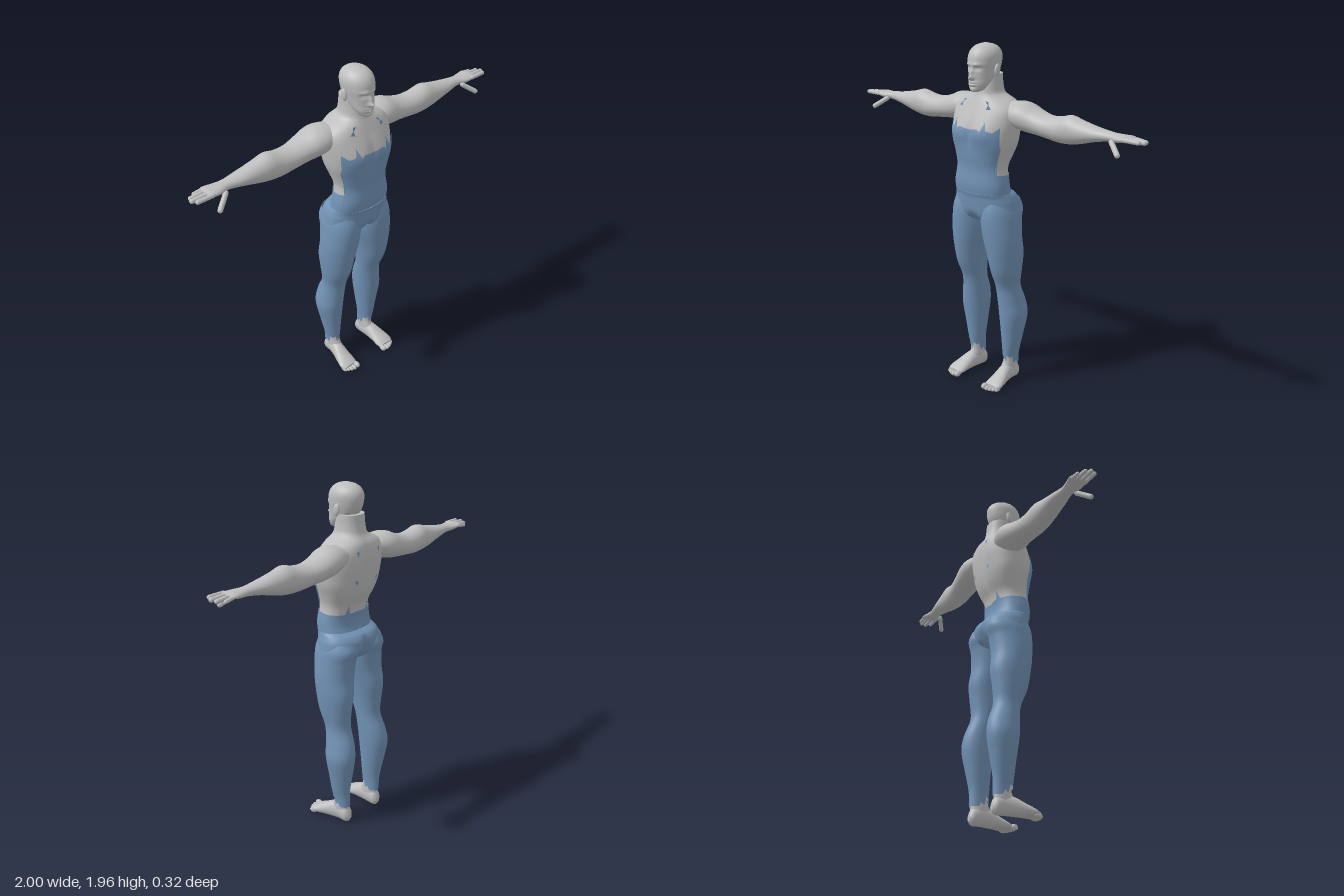
import * as THREE from 'three';
import { mergeVertices } from 'three/addons/utils/BufferGeometryUtils.js';

const skin = new THREE.MeshStandardMaterial({ color: 0xbebebe, side: THREE.DoubleSide });
skin.name = 'grey skin';
const cloth = new THREE.MeshStandardMaterial({ color: 0x7293b6, side: THREE.DoubleSide });
cloth.name = 'blue cloth';

// Smooth interpolation of rows [t, pMin, pMax, qMin, qMax]
function sample(keys, t) {
  const n = keys.length;
  let i = 0;
  while (i < n - 2 && t > keys[i + 1][0]) i++;
  const A = keys[i], B = keys[i + 1], h = B[0] - A[0];
  const s = THREE.MathUtils.clamp((t - A[0]) / h, 0, 1);
  const P = keys[Math.max(i - 1, 0)], N = keys[Math.min(i + 2, n - 1)];
  return [1, 2, 3, 4].map((k) => {
    const m0 = (B[k] - P[k]) / (B[0] - P[0]) * h, m1 = (N[k] - A[k]) / (N[0] - A[0]) * h;
    const s2 = s * s, s3 = s2 * s;
    return (2 * s3 - 3 * s2 + 1) * A[k] + (s3 - 2 * s2 + s) * m0 + (3 * s2 - 2 * s3) * B[k] + (s3 - s2) * m1;
  });
}

// Linear lookup in rows [x, value]
function lookup(rows, x) {
  const i = Math.max(1, rows.findIndex((r) => r[0] >= x));
  const [a, b] = [rows[i - 1], rows[i]];
  return a[1] + (b[1] - a[1]) * (x - a[0]) / (b[0] - a[0]);
}

const power = (c, e) => Math.sign(c) * Math.abs(c) ** e;
const orient = {
  x: (t, p, q) => [t, q, p],
  y: (t, p, q) => [p, t, q],
  z: (t, p, q) => [q, p, t],
};

// One point on a lofted body; angle 0 is +p, 90 degrees is +q
function loftPoint(keys, t, a, { axis = 'y', off = 0, e = 1, deform } = {}, r = 1) {
  const [p0, p1, q0, q1] = sample(keys, t);
  const p = (p0 + p1) / 2 + r * ((p1 - p0) / 2 + off) * power(Math.cos(a), e);
  const q = (q0 + q1) / 2 + r * ((q1 - q0) / 2 + off) * power(Math.sin(a), e);
  const v = orient[axis](t, p, q);
  if (deform) v[2] += deform(v[0], v[1], Math.sin(a));
  return v;
}

// Closed loft; lower/upper give ragged open ends by degrees away from the front
function loft(keys, opt = {}) {
  const { nu = 48, nv = 40, lower, upper } = opt;
  const pos = [], idx = [];
  const open = lower || upper;
  for (let j = 0; j <= nv; j++) {
    const v = open ? j / nv : THREE.MathUtils.clamp((j - 1) / (nv - 2), 0, 1);
    const r = !open && (j === 0 || j === nv) ? 0 : 1;
    const ease = (1 - Math.cos(Math.PI * v)) / 2;
    for (let i = 0; i <= nu; i++) {
      const a = (i % nu) / nu * Math.PI * 2;
      let th = Math.abs(a * 180 / Math.PI - 90);
      if (th > 180) th = 360 - th;
      const t0 = lower ? lower(th) : keys[0][0], t1 = upper ? upper(th) : keys[keys.length - 1][0];
      pos.push(...loftPoint(keys, t0 + (t1 - t0) * ease, a, opt, r));
      if (i < nu && j < nv) {
        const k = j * (nu + 1) + i, l = k + nu + 1;
        idx.push(k, l, k + 1, k + 1, l, l + 1);
      }
    }
  }
  const g = new THREE.BufferGeometry();
  g.setAttribute('position', new THREE.Float32BufferAttribute(pos, 3));
  g.setIndex(idx);
  const m = mergeVertices(g, 1e-5);
  m.computeVertexNormals();
  return m;
}

// Rounded digit from a to b
function digit(a, b, r) {
  const A = new THREE.Vector3(...a), B = new THREE.Vector3(...b), d = B.clone().sub(A);
  const g = new THREE.CapsuleGeometry(r, d.length() - r, 5, 12);
  g.applyQuaternion(new THREE.Quaternion().setFromUnitVectors(new THREE.Vector3(0, 1, 0), d.clone().normalize()));
  const c = A.add(B).multiplyScalar(0.5);
  return g.translate(c.x, c.y, c.z);
}

function mirrored(g) {
  const m = g.clone().scale(-1, 1, 1), ix = m.index.array;
  for (let i = 0; i < ix.length; i += 3) [ix[i], ix[i + 1]] = [ix[i + 1], ix[i]];
  return m;
}

const bump = (x, y, x0, y0, sx, sy, h) => h * Math.exp(-(((Math.abs(x) - x0) / sx) ** 2) - ((y - y0) / sy) ** 2);

// Torso and neck: [y, -x, +x, back z, front z]
const torsoKeys = [
  [1.1, 0.17, -0.1, 0.12], [1.2, 0.164, -0.066, 0.137], [1.3, 0.15, -0.077, 0.133], [1.37, 0.168, -0.112, 0.14],
  [1.43, 0.19, -0.13, 0.144], [1.5, 0.2, -0.14, 0.143], [1.56, 0.205, -0.143, 0.13], [1.62, 0.2, -0.141, 0.105],
  [1.66, 0.155, -0.13, 0.088], [1.69, 0.092, -0.106, 0.075], [1.73, 0.078, -0.094, 0.066], [1.8, 0.074, -0.085, 0.05],
].map(([y, w, b, f]) => [y, -w, w, b, f]);
const torsoOpt = {
  nu: 96, nv: 60, e: 0.88,
  deform: (x, y, s) => (s > 0
    ? s * (bump(x, y, 0.09, 1.49, 0.075, 0.055, 0.014) - bump(x, y, 0, 1.5, 0.018, 0.1, 0.006))
    : -s * (bump(x, y, 0, 1.42, 0.03, 0.2, 0.016) - bump(x, y, 0.1, 1.56, 0.05, 0.07, 0.008))),
};

// Ragged top of the shirt, in degrees away from the front
const shirtTop = [[0, 1.515], [14, 1.525], [20, 1.512], [26, 1.565], [29, 1.52], [42, 1.51], [55, 1.54], [58, 1.44],
  [62, 1.42], [66, 1.27], [100, 1.262], [148, 1.26], [154, 1.31], [159, 1.262], [181, 1.26]];

// Face relief
const face = (x, y, s) => (s <= 0 ? 0 : s * (
  bump(x, y, 0, 1.787, 0.014, 0.012, 0.026) + bump(x, y, 0, 1.812, 0.011, 0.02, 0.015)
  + bump(x, y, 0.03, 1.856, 0.024, 0.009, 0.007) - bump(x, y, 0.032, 1.836, 0.017, 0.01, 0.013)
  + bump(x, y, 0.032, 1.834, 0.009, 0.005, 0.006)
  + bump(x, y, 0, 1.763, 0.022, 0.005, 0.008) + bump(x, y, 0, 1.749, 0.02, 0.005, 0.008)
  - bump(x, y, 0, 1.737, 0.025, 0.005, 0.004)));
const headKeys = [
  [1.711, 0.02, 0.06, 0.108], [1.72, 0.036, 0.03, 0.116], [1.75, 0.056, 0, 0.118], [1.78, 0.067, -0.045, 0.116],
  [1.82, 0.075, -0.075, 0.116], [1.86, 0.081, -0.088, 0.118], [1.9, 0.081, -0.09, 0.112],
  [1.93, 0.068, -0.075, 0.094], [1.95, 0.044, -0.045, 0.065], [1.96, 0.012, -0.005, 0.03],
].map(([y, w, b, f]) => [y, -w, w, b, f]);

// Arm along x: [x, back z, front z, bottom y, top y]
const armKeys = [
  [0.12, -0.12, 0.03, 1.55, 1.655], [0.2, -0.146, 0.045, 1.52, 1.667], [0.25, -0.149, 0.04, 1.508, 1.662],
  [0.31, -0.143, 0.026, 1.502, 1.637], [0.39, -0.13, 0.019, 1.494, 1.617], [0.47, -0.122, 0.018, 1.485, 1.622],
  [0.535, -0.118, 0.017, 1.487, 1.638], [0.6, -0.112, 0.01, 1.499, 1.622], [0.7, -0.1, 0, 1.527, 1.602],
  [0.79, -0.085, -0.014, 1.543, 1.591], [0.84, -0.092, 0, 1.546, 1.589], [0.89, -0.099, 0.005, 1.557, 1.588],
  [0.91, -0.09, -0.002, 1.565, 1.583],
];

// Trouser hips and legs: [y, inner x, outer x, back z, front z]
const hipKeys = [
  [0.96, 0.03, -0.05, 0.05], [1, 0.13, -0.1, 0.1], [1.04, 0.195, -0.132, 0.122], [1.1, 0.197, -0.143, 0.131],
  [1.14, 0.184, -0.124, 0.136], [1.16, 0.174, -0.09, 0.142],
].map(([y, w, b, f]) => [y, -w, w, b, f]);
const legKeys = [
  [0.08, 0.092, 0.166, -0.12, -0.01], [0.15, 0.092, 0.17, -0.12, -0.01], [0.2, 0.088, 0.18, -0.122, -0.005],
  [0.3, 0.078, 0.2, -0.14, 0.005], [0.42, 0.068, 0.22, -0.16, 0.02], [0.5, 0.064, 0.21, -0.15, 0.026],
  [0.6, 0.06, 0.197, -0.115, 0.038], [0.7, 0.05, 0.21, -0.12, 0.078], [0.8, 0.034, 0.22, -0.13, 0.1],
  [0.9, 0.013, 0.221, -0.118, 0.115], [1, 0.002, 0.212, -0.128, 0.124], [1.06, 0.004, 0.204, -0.145, 0.122],
  [1.11, 0.02, 0.185, -0.13, 0.11],
];
const cuff = [[0, 0.15], [12, 0.12], [20, 0.165], [45, 0.15], [60, 0.16], [75, 0.11], [95, 0.125], [110, 0.1], [181, 0.1]];

const ankleKeys = [[0.03, 0.1, 0.15, -0.11, -0.02], [0.08, 0.093, 0.161, -0.115, 0.005],
  [0.12, 0.095, 0.16, -0.113, -0.014], [0.22, 0.095, 0.165, -0.113, -0.015]];
// Foot along z: [z, bottom y, top y, inner x, outer x]
const footKeys = [[-0.126, 0.02, 0.055, 0.11, 0.14], [-0.11, 0, 0.09, 0.094, 0.158], [-0.06, 0, 0.11, 0.091, 0.163],
  [0, 0, 0.1, 0.094, 0.176], [0.05, 0, 0.075, 0.094, 0.19], [0.1, 0, 0.05, 0.093, 0.2], [0.128, 0.004, 0.034, 0.1, 0.19]];

export function createModel() {
  const root = new THREE.Group();
  const add = (name, g, mat) => {
    const m = new THREE.Mesh(g, mat);
    m.name = name;
    root.add(m);
  };
  const pair = (name, g, mat) => {
    add(name + 'Left', g, mat);
    add(name + 'Right', mirrored(g), mat);
  };

  add('torso', loft(torsoKeys, torsoOpt), skin);
  add('head', loft(headKeys, { nu: 112, nv: 90, deform: face }), skin);
  pair('ear', new THREE.SphereGeometry(1, 16, 12).scale(0.011, 0.034, 0.02).rotateX(-0.15).translate(0.083, 1.825, 0.008), skin);

  // Arms and hands
  pair('arm', loft(armKeys, { axis: 'x', nv: 60 }), skin);
  [[-0.004, 0.985, 0.012], [-0.033, 1, 0.0125], [-0.062, 0.99, 0.012], [-0.087, 0.955, 0.0105]].forEach(([z, tip, r], i) =>
    pair('finger' + (i + 1), digit([0.88, 1.573, z * 0.95], [tip - r / 2, 1.574 - i * 0.004, z], r), skin));
  pair('thumb', digit([0.81, 1.555, -0.01], [0.885, 1.5, 0.038], 0.014), skin);

  // Shirt and trousers
  add('shirt', loft(torsoKeys, { ...torsoOpt, nu: 180, off: 0.006, lower: () => 1.13, upper: (d) => lookup(shirtTop, d) }), cloth);
  add('trouserHips', loft(hipKeys, {
    nu: 80, e: 0.92,
    deform: (x, y, s) => (s > 0 ? -s * bump(x, y, 0, 0.98, 0.03, 0.05, 0.03) : -s * bump(x, y, 0, 1.03, 0.022, 0.08, 0.045)),
  }), cloth);
  pair('trouserLeg', loft(legKeys, { nu: 72, nv: 70, lower: (d) => lookup(cuff, d), upper: () => 1.11 }), cloth);

  // Feet
  pair('ankle', loft(ankleKeys, { nv: 20 }), skin);
  pair('foot', loft(footKeys, { axis: 'z', nv: 30 }), skin);
  [[0.108, 0.147, 0.016], [0.133, 0.148, 0.012], [0.153, 0.142, 0.011], [0.171, 0.133, 0.0105], [0.187, 0.122, 0.01]].forEach(
    ([x, z, r], i) => pair('toe' + (i + 1), new THREE.SphereGeometry(1, 14, 10).scale(r, r * 1.1, 0.024).translate(x, r * 1.1, z - 0.01), skin));

  // Scraps of cloth showing on the chest and back: corners as [degrees from front, y]
  const scraps = [
    [[23, 1.664], [30, 1.664], [27, 1.642]], [[27, 1.648], [22, 1.624], [31, 1.628]],
    [[157, 1.625], [163, 1.62], [160, 1.595]], [[155, 1.465], [163, 1.46], [161, 1.435]],
  ];
  scraps.forEach((tri, i) => {
    const pts = tri.flatMap(([d, y]) => loftPoint(torsoKeys, y, (90 - d) * Math.PI / 180, { ...torsoOpt, off: 0.006 }));
    const g = new THREE.BufferGeometry();
    g.setAttribute('position', new THREE.Float32BufferAttribute(pts, 3));
    g.setIndex(i < 2 ? [0, 2, 1] : [0, 1, 2]);
    const n = new THREE.Vector3(pts[0], 0, i < 2 ? 0.2 : -0.2).normalize();
    g.setAttribute('normal', new THREE.Float32BufferAttribute([0, 1, 2].flatMap(() => n.toArray()), 3));
    const [a, b, c] = [0, 3, 6].map((k) => new THREE.Vector3(...pts.slice(k, k + 3)));
    if (b.sub(a).cross(c.sub(a)).dot(n) > 0) g.setIndex([0, 1, 2]); else g.setIndex([0, 2, 1]);
    pair('clothScrap' + (i + 1), g, cloth);
  });
  return root;
}
